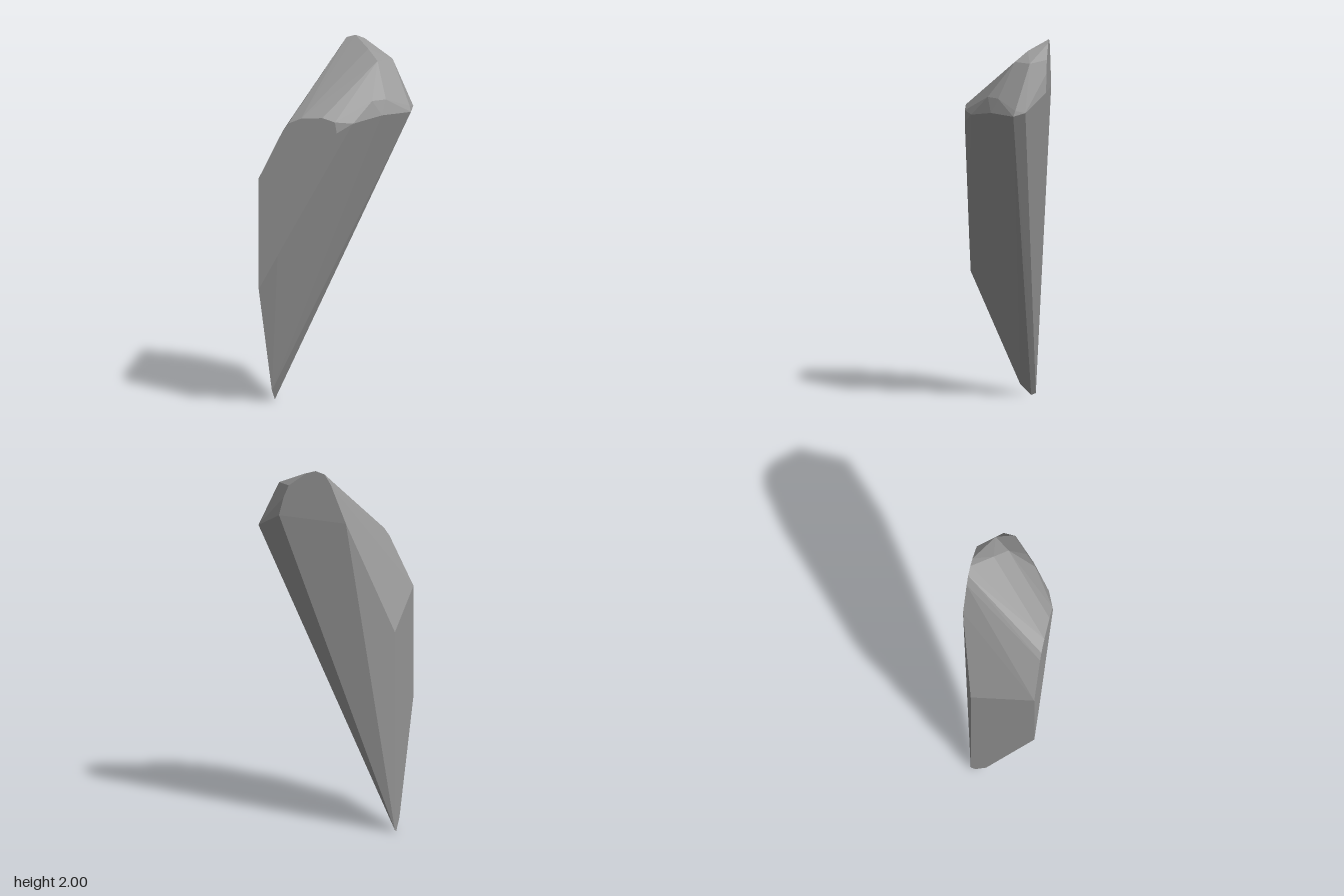
import * as THREE from 'three';
import { ConvexGeometry } from 'three/addons/geometries/ConvexGeometry.js';

const HALF_WIDTH = 0.385, HALF_DEPTH = 0.226;

export function createModel() {
  const group = new THREE.Group();
  group.name = 'rockShard';
  const stone = new THREE.MeshStandardMaterial({ color: 0x999999 });
  stone.name = 'stoneGrey';

  // flat cut side: [y, z]
  const side = [[0.01, -0.125], [0, -0.1], [0.06, -0.04], [0.67, 0.225], [1.28, 0.225], [1.11, -0.125]]
    .map(([y, z]) => new THREE.Vector3(-HALF_WIDTH, y, z));

  // flat front face: [x, y]
  const front = [[-0.385, 0.67], [-0.28, 0.86], [0.05, 1.55], [0.04, 1.61], [-0.03, 1.63],
    [-0.15, 1.62], [-0.22, 1.59], [-0.25, 1.55], [-0.385, 1.28]]
    .map(([x, y]) => new THREE.Vector3(x, y, HALF_DEPTH));

  // flat upper back face: [x, y]
  const back = [[-0.14, 1.72], [-0.055, 1.93], [-0.02, 1.985], [0.03, 2], [0.08, 1.985],
    [0.18, 1.91], [0.21, 1.84], [0.235, 1.74]]
    .map(([x, y]) => new THREE.Vector3(x, y, -HALF_DEPTH));

  // chipped shoulder and widest rim
  const shoulder = [[0.38, 1.65, -0.125], [0.385, 1.63, -0.06], [0.375, 1.66, -0.07],
    [0.26, 1.63, 0.07], [0.13, 1.6, 0.185], [0.12, 1.64, 0.165],
    [0.21, 1.71, 0.09], [0.27, 1.71, 0.03],
    [0.2, 1.9, -0.055], [0.26, 1.9, -0.14], [0.13, 1.95, -0.12]]
    .map((p) => new THREE.Vector3(...p));

  const rock = new THREE.Mesh(new ConvexGeometry([...side, ...front, ...back, ...shoulder]), stone);
  rock.name = 'shard';
  group.add(rock);
  return group;
}
